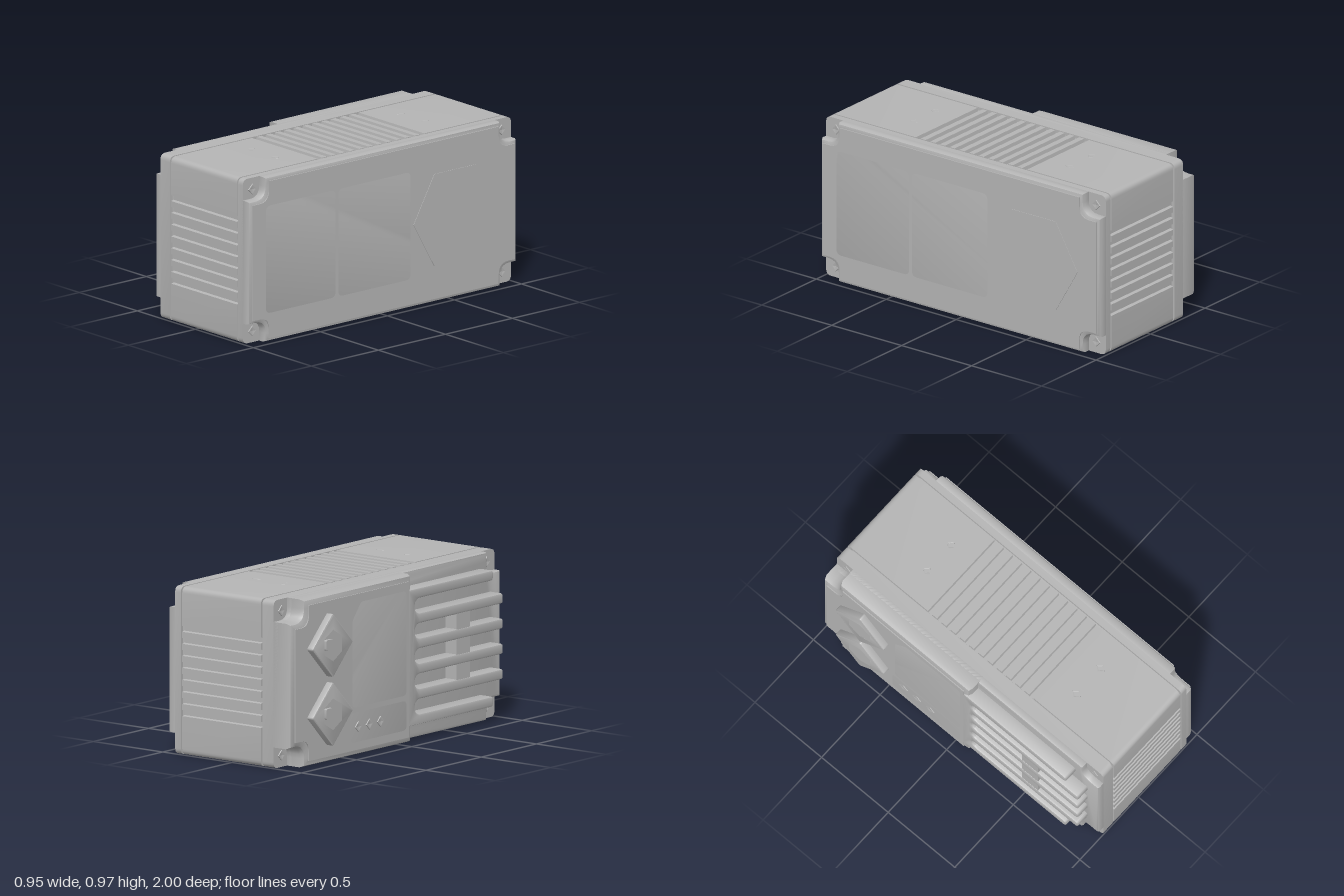
import * as THREE from 'three';
import { toCreasedNormals } from 'three/addons/utils/BufferGeometryUtils.js';

const H = 0.965; // height of the case

// Closed shape from [z, y, cornerRadius] points, each corner filleted
function rounded(pts) {
  const s = new THREE.Shape();
  const v = pts.map(([z, y]) => new THREE.Vector2(-z, y));
  v.forEach((p, i) => {
    const r = pts[i][2] || 0;
    const prev = v[(i + v.length - 1) % v.length], next = v[(i + 1) % v.length];
    const a = p.clone().add(prev.clone().sub(p).setLength(r));
    const b = p.clone().add(next.clone().sub(p).setLength(r));
    if (i === 0) s.moveTo(a.x, a.y); else s.lineTo(a.x, a.y);
    if (r) s.quadraticCurveTo(p.x, p.y, b.x, b.y);
  });
  return s;
}

const rect = (z0, z1, y0, y1, r) => rounded([[z0, y0, r], [z1, y0, r], [z1, y1, r], [z0, y1, r]]);

// Rectangle inset by d, with screw pockets cut from the rear (and front) corners
function pocketed(z0, z1, d, frontPockets) {
  const c = 0.122 + d, r = 0.07, a = z0 + d, b = z1 - d, lo = d, hi = H - d;
  const ci = z0 + c, cf = z1 - c, yl = c, yh = H - c;
  const front = frontPockets
    ? [[cf, lo], [cf, yl, r], [b, yl], [b, yh], [cf, yh, r], [cf, hi]]
    : [[b, lo], [b, hi]];
  return rounded([[ci, lo], ...front, [ci, hi], [ci, yh, r], [a, yh], [a, yl], [ci, yl, r]]);
}

// Extrude a (z, y) shape from x0 to x1, with an optional bevel kept inside the outline
function slab(shape, x0, x1, bevel = 0, thick = bevel) {
  const g = new THREE.ExtrudeGeometry(shape, {
    depth: x1 - x0 - 2 * thick, bevelEnabled: bevel > 0, bevelSize: bevel,
    bevelThickness: thick, bevelOffset: -bevel, bevelSegments: 2, curveSegments: 5,
  });
  g.rotateY(Math.PI / 2);
  g.translate(x0 + thick, 0, 0);
  return toCreasedNormals(g, 0.6);
}

// Case cross-section with rows of cooling grooves on all four sides
function ventedOutline() {
  const w = 0.0346, depth = 0.02, pts = [];
  const side = (n, map) => {
    const start = -(2 * n - 1) * w / 2;
    for (let i = 0; i < n; i++) {
      const t = start + 2 * i * w;
      [[t, 0], [t + 0.004, depth], [t + w - 0.004, depth], [t + w, 0]].forEach(([u, d]) => pts.push(map(u, d)));
    }
  };
  pts.push([-1, 0, 0.035]);
  side(12, (u, d) => [u, d]);
  pts.push([1, 0, 0.035]);
  side(8, (u, d) => [1 - d, H / 2 + u]);
  pts.push([1, H, 0.035]);
  side(12, (u, d) => [-u, H - d]);
  pts.push([-1, H, 0.035]);
  side(8, (u, d) => [-1 + d, H / 2 - u]);
  return rounded(pts);
}

// Comb of six fins whose slots end in half circles
function finComb() {
  const fin = 0.06, pitch = 0.145, r = (pitch - fin) / 2, pts = [[0.05, 0.095]];
  for (let i = 0; i < 6; i++) {
    const y = 0.095 + i * pitch, end = i % 5 === 0 ? 0.83 : 0.92;
    pts.push([end, y, 0.018], [end, y + fin, 0.018]);
    if (i < 5) {
      for (let k = 0; k <= 6; k++) {
        const a = -Math.PI / 2 + Math.PI * k / 6;
        pts.push([0.12 + r - r * Math.cos(a), y + fin + r + r * Math.sin(a)]);
      }
    }
  }
  pts.push([0.05, 0.88]);
  return rounded(pts);
}

export function createModel() {
  const model = new THREE.Group();
  const grey = new THREE.MeshStandardMaterial({ color: 0xb4b4b4 });
  grey.name = 'case grey';

  const add = (name, geometry, parent = model) => {
    const m = new THREE.Mesh(geometry, grey);
    m.name = name;
    parent.add(m);
    return m;
  };

  // Case: inner core showing in the seams, vented middle, lid and base rings
  add('seamCore', slab(rect(-0.979, 0.979, 0.021, H - 0.021, 0.03), -0.24, 0.39));
  add('ventedCase', slab(ventedOutline(), -0.208, 0.359));
  add('lidRing', slab(rect(-1, 1, 0, H, 0.035), 0.369, 0.41));
  add('baseRing', slab(rect(-1, 1, 0, H, 0.035), -0.30, -0.219));

  // Lid with corner pockets and two recessed panels
  add('lid', slab(pocketed(-1, 1, 0, true), 0.385, 0.464, 0.022));
  const lidFace = pocketed(-1, 1, 0.022, true);
  lidFace.holes.push(rect(0.36, 0.88, 0.17, 0.8, 0.035), rect(-0.2, 0.34, 0.17, 0.8, 0.035));
  add('lidFace', slab(lidFace, 0.464, 0.47));
  add('hexPlate', slab(rounded([[-0.22, 0.485], [-0.375, 0.755], [-0.69, 0.755],
    [-0.845, 0.485], [-0.69, 0.215], [-0.375, 0.215]]), 0.468, 0.473));

  // Base with corner pockets, and the raised equipment housing at the rear
  add('base', slab(pocketed(-1, 1, 0, true), -0.345, -0.28, 0.015));
  add('raisedHousing', slab(pocketed(-1, 0.1, 0, false), -0.424, -0.26, 0.035));
  const housingFace = pocketed(-1, 0.1, 0.035, false);
  housingFace.holes.push(
    rounded([[-0.45, 0.28, 0.03], [0.04, 0.28, 0.03], [0.04, 0.88, 0.03], [-0.37, 0.88, 0.02], [-0.45, 0.78, 0.02]]),
    rect(-0.47, 0.04, 0.08, 0.25, 0.03));
  add('housingFace', slab(housingFace, -0.43, -0.424));

  // Cooling fins and the bridges across the middle slots
  add('coolingFins', slab(finComb(), -0.43, -0.32, 0.013));
  for (let i = 1; i < 4; i++) {
    const y = 0.155 + i * 0.145;
    add('finBridge', slab(rect(0.5, 0.62, y - 0.03, y + 0.115, 0), -0.425, -0.33));
  }

  // Two diamond sockets, each a frame with a hexagonal opening
  for (const y of [0.285, 0.68]) {
    const socket = new THREE.Group();
    socket.name = 'socket';
    model.add(socket);
    const z = -0.678, R = 0.186;
    const frame = rounded([[z + R, y, 0.015], [z, y + R, 0.015], [z - R, y, 0.015], [z, y - R, 0.015]]);
    const hex = [];
    for (let k = 0; k < 6; k++) {
      const a = k * Math.PI / 3 + Math.PI / 6;
      hex.push([z + 0.1 * Math.cos(a), y + 0.1 * Math.sin(a)]);
    }
    frame.holes.push(rounded(hex));
    add('socketFrame', slab(frame, -0.473, -0.425, 0.008), socket);
    add('socketPin', slab(rect(z - 0.03, z + 0.03, y - 0.03, y + 0.03, 0.01), -0.45, -0.425), socket);
  }

  // Diamond screw: a low rim with a hollow centre
  const screwGeo = new THREE.LatheGeometry([[0.033, -0.002], [0.03, 0.004], [0.024, 0.004], [0, 0.0008]]
    .map(([r, y]) => new THREE.Vector2(r, y)), 4).toNonIndexed();
  screwGeo.computeVertexNormals();
  const up = new THREE.Vector3(0, 1, 0);
  const screw = (x, y, z, nx, ny) => {
    const m = add('screw', screwGeo);
    m.position.set(x, y, z);
    m.quaternion.setFromUnitVectors(up, new THREE.Vector3(nx, ny, 0));
  };
  for (const z of [-0.56, 0.56]) {
    for (const x of [-0.03, 0.175]) {
      screw(x, H - 0.003, z, 0, 1);
      screw(x, 0.004, z, 0, -1);
    }
  }
  for (const z of [-0.93, 0.93]) {
    for (const y of [0.067, 0.898]) {
      screw(0.41, y, z, 1, 0);
      screw(-0.30, y, z, -1, 0);
    }
  }
  for (const z of [-0.39, -0.29, -0.19]) screw(-0.424, 0.165, z, -1, 0);

  return model;
}
